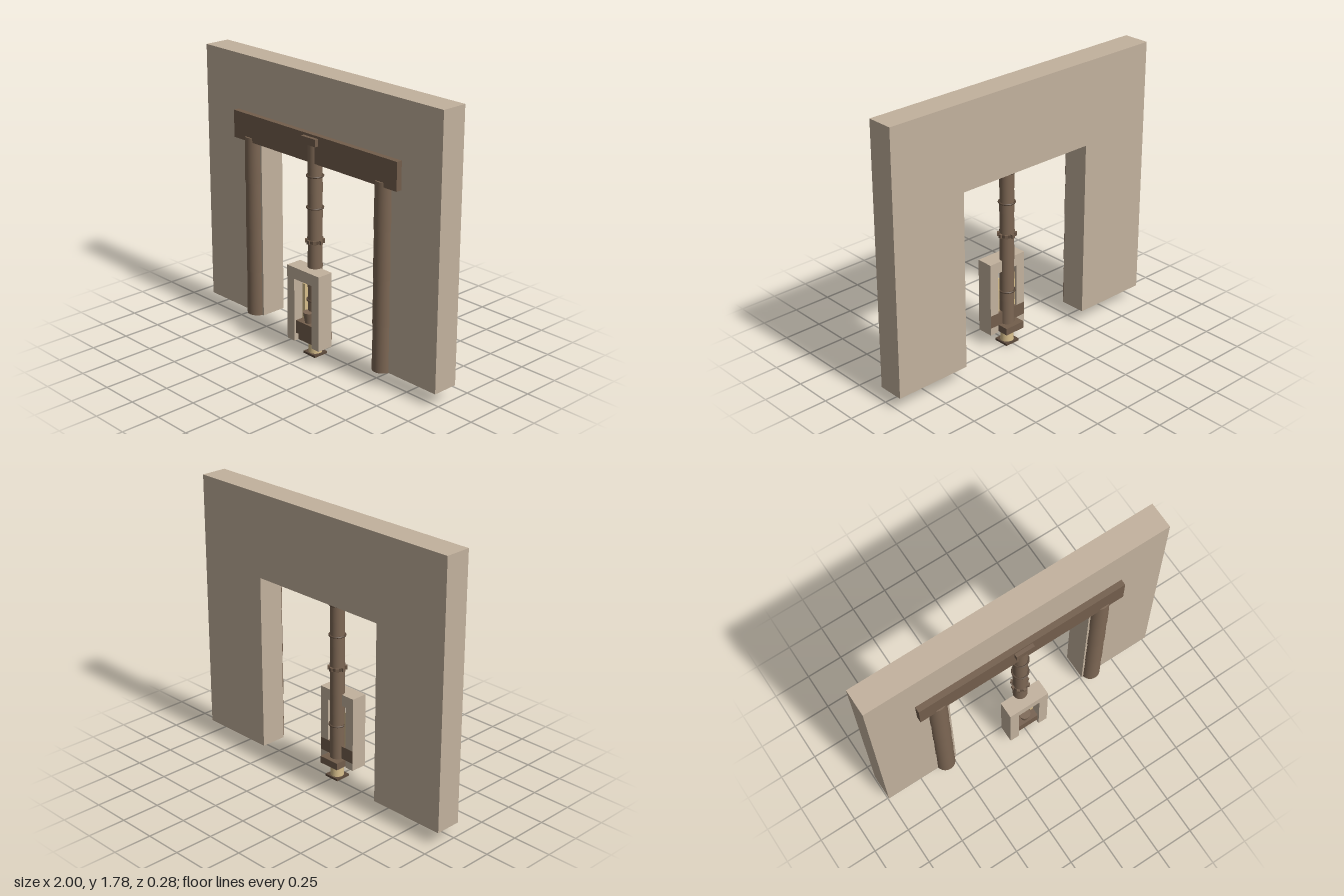
import * as THREE from 'three';

const mat = (color, side = THREE.FrontSide) => new THREE.MeshStandardMaterial({ color, side });
const STONE = mat(0xc2b19d);
const WOOD = mat(0x735e4c);
const BAMBOO = mat(0x7d6754);
const DARK = mat(0x5c4a3b);
const GOLD = mat(0xd8bf8c);

export function createModel() {
  const model = new THREE.Group();

  const add = (name, geometry, material, x = 0, y = 0, z = 0) => {
    const mesh = new THREE.Mesh(geometry, material);
    mesh.name = name;
    mesh.position.set(x, y, z);
    model.add(mesh);
    return mesh;
  };

  // Box given by its limits on each axis
  const box = (name, material, [x0, x1], [y0, y1], [z0, z1]) =>
    add(name, new THREE.BoxGeometry(x1 - x0, y1 - y0, z1 - z0), material,
      (x0 + x1) / 2, (y0 + y1) / 2, (z0 + z1) / 2);

  // Upright slab with a doorway cut up from its lower edge
  const archway = (name, w, y0, y1, openW, openTop, z0, z1) => {
    const s = new THREE.Shape();
    [[-w, y0], [-openW, y0], [-openW, openTop], [openW, openTop],
      [openW, y0], [w, y0], [w, y1], [-w, y1]]
      .forEach(([x, y], i) => (i ? s.lineTo(x, y) : s.moveTo(x, y)));
    s.closePath();
    const g = new THREE.ExtrudeGeometry(s, { depth: z1 - z0, bevelEnabled: false });
    return add(name, g, STONE, 0, 0, z0);
  };

  // Stack of slightly swelling log sections between the given heights
  const logStack = (name, x, z, heights, rBottom, rTop) => {
    for (let i = 0; i < heights.length - 1; i++) {
      const h = heights[i + 1] - heights[i];
      const side = new THREE.SplineCurve([
        new THREE.Vector2(rBottom, 0),
        new THREE.Vector2(rBottom * 0.985, h * 0.4),
        new THREE.Vector2(rTop, h),
      ]).getPoints(6);
      const profile = [new THREE.Vector2(0, 0), new THREE.Vector2(rBottom, 0),
        ...side, new THREE.Vector2(rTop, h), new THREE.Vector2(0, h)];
      add(name, new THREE.LatheGeometry(profile, 32), BAMBOO, x, heights[i], z);
    }
  };

  // Wall with its opening, and the beam across the front
  archway('wall', 1, 0.09, 1.78, 0.49, 1.24, -0.14, 0.03);
  box('lintel', WOOD, [-0.7, 0.7], [1.25, 1.425], [0.02, 0.068]);

  // Columns either side of the opening
  for (const x of [-0.565, 0.565]) {
    logStack('sideColumn', x, 0.018, [0.09, 0.385, 0.68, 0.98, 1.277], 0.064, 0.0605);
  }

  // Central pole
  const pz = 0.035;
  logStack('centralPole', 0, pz, [0.13, 0.3, 0.445, 0.58, 0.74, 0.9, 1.06, 1.22, 1.37], 0.046, 0.0445);
  for (const y of [0.365, 0.965, 1.165]) {
    const ring = add('poleRing', new THREE.TorusGeometry(0.049, 0.006, 8, 32), DARK, 0, y, pz);
    ring.rotation.x = Math.PI / 2;
  }
  box('poleCap', WOOD, [-0.062, 0.062], [1.365, 1.41], [0.0, 0.092]);

  // Collar with small lugs
  add('collar', new THREE.CylinderGeometry(0.052, 0.052, 0.018, 32), DARK, 0, 0.75, pz);
  for (let i = 0; i < 8; i++) {
    const a = (i / 8) * Math.PI * 2;
    const lug = add('collarLug', new THREE.BoxGeometry(0.02, 0.024, 0.016), WOOD,
      Math.sin(a) * 0.052, 0.75, pz + Math.cos(a) * 0.052);
    lug.rotation.y = a;
  }

  // Small stone housing around the foot of the pole
  archway('housing', 0.14, 0.09, 0.58, 0.077, 0.505, 0.03, 0.138);
  box('housingCrossbar', WOOD, [-0.139, 0.139], [0.14, 0.225], [0.029, 0.125]);
  for (const s of [-1, 1]) {
    const e = [s * 0.054, s * 0.077].sort((a, b) => a - b);
    box('goldStrip', GOLD, e, [0.225, 0.457], [0.045, 0.07]);
  }
  add('cup', new THREE.CylinderGeometry(0.037, 0.024, 0.07, 24), BAMBOO, 0, 0.26, 0.088);

  // Foot of the pole
  box('footBlock', WOOD, [-0.072, 0.072], [0.094, 0.14], [-0.04, 0.11]);
  add('footStem', new THREE.CylinderGeometry(0.039, 0.043, 0.09, 32), GOLD, 0, 0.055, pz);
  box('footPlate', DARK, [-0.052, 0.052], [0, 0.014], [pz - 0.052, pz + 0.052]);

  return model;
}
